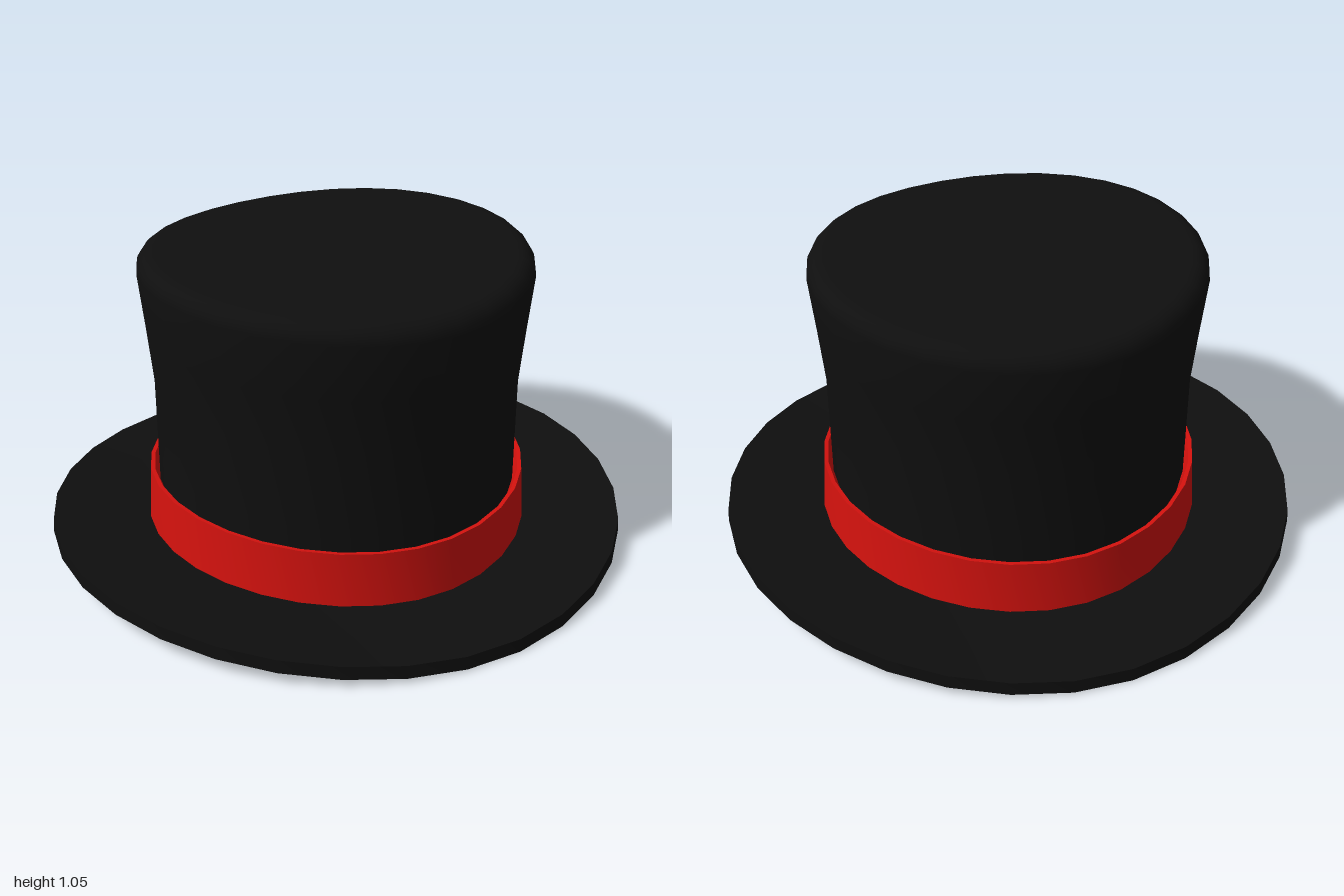
import * as THREE from 'three';
import { toCreasedNormals } from 'three/addons/utils/BufferGeometryUtils.js';

const SIDES = 32;

// Upward bend of the whole hat towards its left and right sides
const bend = (x) => 0.1034 * (Math.hypot(x, 0.4) - 0.4);

// Revolve a [radius, height] profile, then bend it
function bentLathe(name, profile, color) {
  const points = profile.map(([r, y]) => new THREE.Vector2(r, y));
  const geometry = new THREE.LatheGeometry(points, SIDES);
  const pos = geometry.attributes.position;
  for (let i = 0; i < pos.count; i++) pos.setY(i, pos.getY(i) + bend(pos.getX(i)));
  const mesh = new THREE.Mesh(
    toCreasedNormals(geometry, 0.7),
    new THREE.MeshStandardMaterial({ color })
  );
  mesh.name = name;
  return mesh;
}

export function createModel() {
  const hat = new THREE.Group();
  hat.name = 'topHat';
  const black = 0x0f0f0f;
  const red = 0xd4120e;

  // Brim: thin closed disc, with rings so that it bends smoothly
  const rings = [0, 0.2, 0.4, 0.6, 0.8, 1];
  const brim = [
    ...rings.map((r) => [r, 0]),
    ...rings.slice().reverse().map((r) => [r === 1 ? 0.997 : r, 0.045]),
  ];
  hat.add(bentLathe('brim', brim, black));

  // Crown: straight below, flaring above, with a rounded top edge
  const crown = [[0.622, 0.03], [0.622, 0.3], [0.622, 0.57], [0.64, 0.76], [0.66, 0.95]];
  for (let i = 1; i <= 5; i++) {
    const a = (i / 5) * Math.PI / 2;
    crown.push([0.595 + 0.065 * Math.cos(a), 0.95 + 0.063 * Math.sin(a)]);
  }
  crown.push([0.45, 1.015], [0.3, 1.016], [0.15, 1.017], [0, 1.017]);
  hat.add(bentLathe('crown', crown, black));

  // Ribbon band: tapers upwards, with a thin open lip around the crown
  const band = [[0.665, 0.03], [0.652, 0.232], [0.638, 0.232], [0.621, 0.19]];
  hat.add(bentLathe('band', band, red));

  return hat;
}
